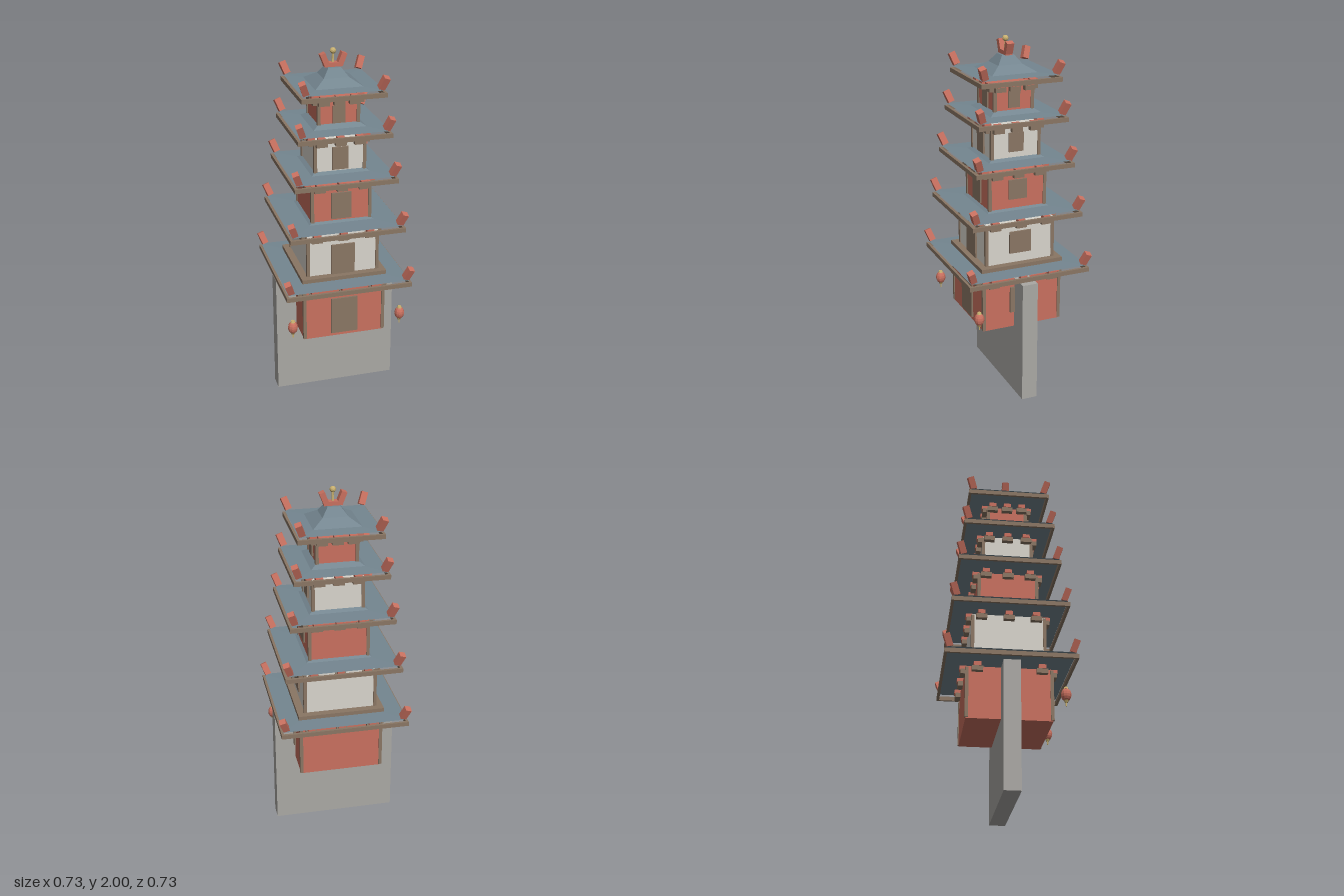
import * as THREE from 'three';

const mat = (color) => new THREE.MeshStandardMaterial({ color, flatShading: true });
const RED = mat(0xc8705f), BROWN = mat(0x8a7664), WHITE = mat(0xd8d4cc);
const SLATE = mat(0x748690), STONE = mat(0xaaa8a4), GOLD = mat(0xc8b070);

function add(parent, name, geometry, material, x = 0, y = 0, z = 0) {
  const m = new THREE.Mesh(geometry, material);
  m.name = name;
  m.position.set(x, y, z);
  parent.add(m);
  return m;
}
const box = (parent, name, material, w, h, d, x, y, z) =>
  add(parent, name, new THREE.BoxGeometry(w, h, d), material, x, y, z);

// Square roof: shallow inverted soffit, flat eave, concave hip on top
function addRoof(parent, R, y) {
  const profile = [
    [0, -0.03], [R - 0.01, 0.024], [R * 0.565, 0.027],
    [R * 0.3, 0.027 + R * 0.165], [R * 0.15, 0.027 + R * 0.37], [0, 0.027 + R * 0.37],
  ].map(([r, h]) => new THREE.Vector2(r * Math.SQRT2, h));
  add(parent, 'roof', new THREE.LatheGeometry(profile, 4, Math.PI / 4), SLATE, 0, y, 0);

  // Eave frame
  const t = 0.014;
  for (const s of [-1, 1]) {
    box(parent, 'eaveBeam', BROWN, 2 * R, 0.024, t, 0, y, s * (R - t / 2));
    box(parent, 'eaveBeam', BROWN, t, 0.024, 2 * R - 2 * t, s * (R - t / 2), y, 0);
  }
  // Corner ornaments leaning outwards
  for (const sx of [-1, 1]) for (const sz of [-1, 1]) {
    const o = box(parent, 'cornerOrnament', RED, 0.035, 0.07, 0.035,
      sx * (R - 0.017), y + 0.064, sz * (R - 0.017));
    o.rotation.set(sz * 0.35, 0, -sx * 0.35);
  }
}

// Storey walls, columns, door, window and brackets
function addStorey(parent, t) {
  const { half, y0, y1, wall, door, win } = t;
  box(parent, 'walls', wall, 2 * half, y1 - y0, 2 * half, 0, (y0 + y1) / 2, 0);
  for (const sx of [-1, 1]) for (const sz of [-1, 1])
    box(parent, 'cornerColumn', BROWN, 0.018, y1 - y0 - 0.01, 0.018,
      sx * (half - 0.004), (y0 + y1) / 2, sz * (half - 0.004));

  box(parent, 'door', BROWN, 2 * door[0], door[2] - door[1], 0.016,
    0, (door[1] + door[2]) / 2, half + 0.002);
  box(parent, 'window', BROWN, 0.016, win[1] - win[0], 2 * door[0] * 0.95,
    half + 0.002, (win[0] + win[1]) / 2, 0);

  for (let i = 0; i < 4; i++) {
    const side = new THREE.Group();
    side.name = 'bracketRow';
    side.rotation.y = i * Math.PI / 2;
    parent.add(side);
    for (const k of [-1, 0, 1]) {
      const x = k * half * 0.75;
      box(side, 'bracketBlock', BROWN, 0.06, 0.026, 0.04, x, y1 - 0.018, half + 0.008);
      box(side, 'bracketCap', RED, 0.04, 0.022, 0.04, x, y1 + 0.006, half + 0.012);
    }
  }
}

function addLantern(parent, x, y, z) {
  const g = new THREE.Group();
  g.name = 'lantern';
  g.position.set(x, y, z);
  parent.add(g);
  add(g, 'lanternBody', new THREE.SphereGeometry(0.028, 10, 8), RED).scale.y = 1.3;
  add(g, 'lanternTop', new THREE.CylinderGeometry(0.01, 0.014, 0.01, 8), GOLD, 0, 0.037, 0);
  add(g, 'lanternBase', new THREE.CylinderGeometry(0.014, 0.008, 0.012, 8), GOLD, 0, -0.037, 0);
  add(g, 'tassel', new THREE.CylinderGeometry(0.004, 0.004, 0.025, 6), GOLD, 0, -0.05, 0);
}

export function createModel() {
  const model = new THREE.Group();
  model.name = 'pagoda';

  box(model, 'supportSlab', STONE, 0.69, 0.7, 0.09, 0, 0.35, 0);

  // door: [half width, bottom, top]; win: [bottom, top]
  const tiers = [
    { half: 0.23, y0: 0.41, y1: 0.7, wall: RED, door: [0.076, 0.43, 0.645], win: [0.5, 0.65], R: 0.353, roofY: 0.734 },
    { half: 0.2, y0: 0.76, y1: 1.02, wall: WHITE, door: [0.066, 0.78, 0.96], win: [0.84, 0.965], R: 0.32, roofY: 1.052 },
    { half: 0.165, y0: 1.07, y1: 1.295, wall: RED, door: [0.056, 1.1, 1.25], win: [1.14, 1.25], R: 0.285, roofY: 1.327 },
    { half: 0.14, y0: 1.345, y1: 1.542, wall: WHITE, door: [0.045, 1.375, 1.5], win: [1.4, 1.505], R: 0.256, roofY: 1.574 },
    { half: 0.112, y0: 1.59, y1: 1.757, wall: RED, door: [0.035, 1.625, 1.72], win: [1.635, 1.725], R: 0.23, roofY: 1.788 },
  ];
  tiers.forEach((t, i) => {
    const g = new THREE.Group();
    g.name = `storey${i + 1}`;
    model.add(g);
    addStorey(g, t);
    addRoof(g, t.R, t.roofY);
  });

  // Brown base under the second storey
  box(model, 'storeyBase', BROWN, 0.48, 0.022, 0.48, 0, 0.773, 0);

  for (const s of [-1, 1]) addLantern(model, s * 0.308, 0.53, 0.285);

  // Ridge with flared ends and a gold finial
  box(model, 'ridge', RED, 0.1, 0.022, 0.04, 0, 1.911, 0);
  for (const s of [-1, 1])
    box(model, 'ridgeHorn', RED, 0.03, 0.07, 0.04, s * 0.047, 1.938, 0).rotation.z = -s * 0.38;
  add(model, 'finialRod', new THREE.CylinderGeometry(0.005, 0.008, 0.08, 8), GOLD, 0, 1.945, 0);
  add(model, 'finialBall', new THREE.IcosahedronGeometry(0.017, 1), GOLD, 0, 1.983, 0);
  return model;
}
